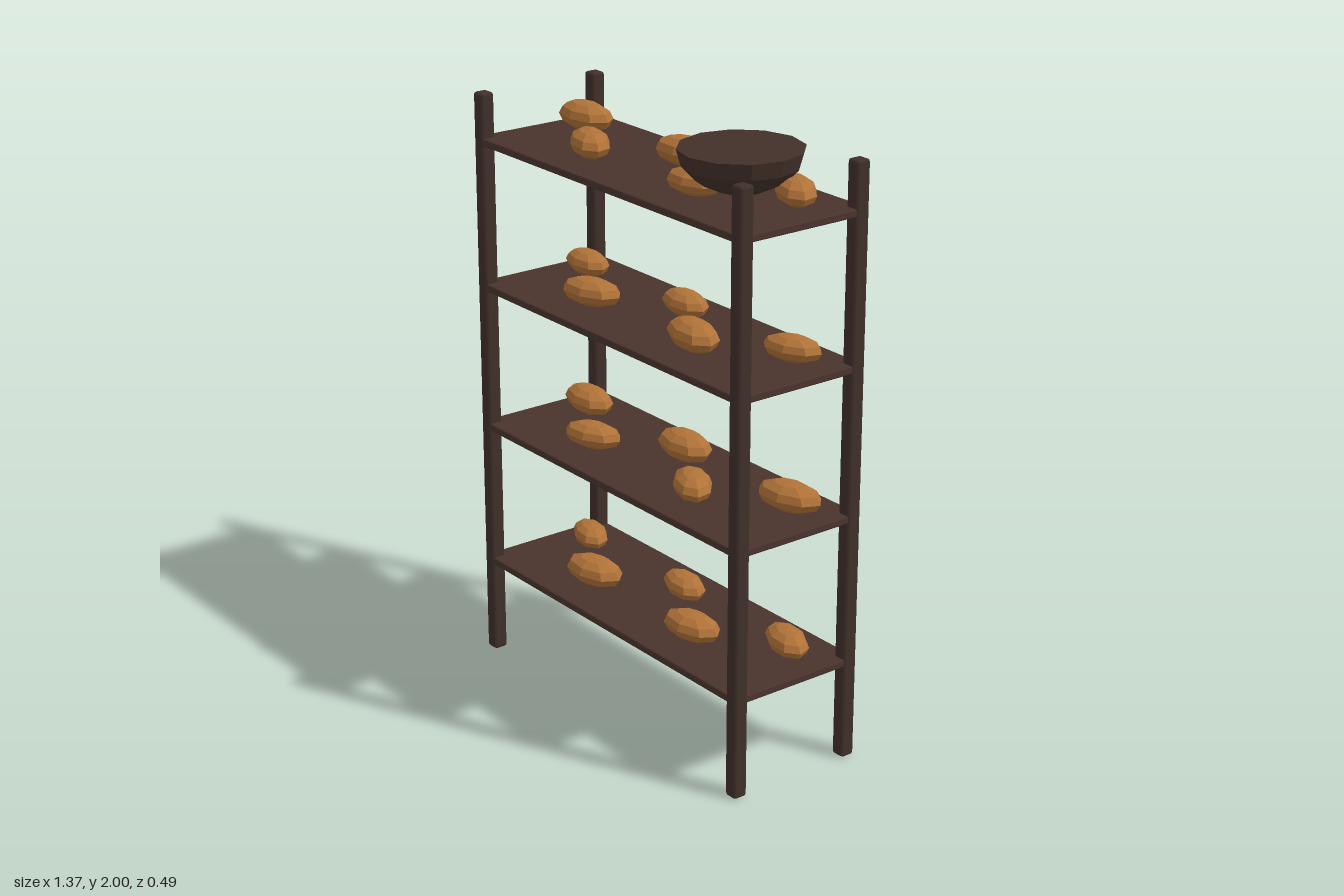
import * as THREE from 'three';
import { RoundedBoxGeometry } from 'three/addons/geometries/RoundedBoxGeometry.js';

export function createModel() {
  const group = new THREE.Group();
  const material = (name, color, flatShading = false) => {
    const m = new THREE.MeshStandardMaterial({ color, flatShading });
    m.name = name;
    return m;
  };
  const postWood = material('post wood', 0x40302a);
  const shelfWood = material('shelf wood', 0x4a342c);
  const bowlWood = material('bowl wood', 0x43312a, true);
  const crust = material('bread crust', 0xb07238, true);

  const add = (name, geometry, mat, x, y, z, parent = group) => {
    const mesh = new THREE.Mesh(geometry, mat);
    mesh.name = name;
    mesh.position.set(x, y, z);
    parent.add(mesh);
    return mesh;
  };

  // Four chamfered corner posts
  const postGeo = new RoundedBoxGeometry(0.05, 1.99, 0.05, 1, 0.01);
  for (const x of [-0.662, 0.662]) {
    for (const z of [-0.222, 0.222]) add('post', postGeo, postWood, x, 0.995, z);
  }

  // Loaves per shelf, from bottom to top: [half length, turn about y]
  const loaves = [
    [[0.101, -0.35], [0.122, 0.1], [0.105, -0.2], [0.117, 0.1], [0.11, -0.3]],
    [[0.117, -0.1], [0.11, 0.3], [0.122, -0.05], [0.112, -0.5], [0.121, 0.2]],
    [[0.104, -0.1], [0.115, 0.25], [0.106, -0.1], [0.123, -0.2], [0.105, 0.3]],
    [[0.121, 0], [0.113, -0.4], [0.119, 0.2], [0.105, 0.15], [0.112, -0.45]],
  ];
  const shelfGeo = new RoundedBoxGeometry(1.365, 0.026, 0.487, 1, 0.005);
  const loafGeo = new THREE.SphereGeometry(1, 8, 6);

  loaves.forEach((row, level) => {
    const top = 0.351 + level * 0.4965;
    const unit = new THREE.Group();
    unit.name = 'shelfWithBread';
    unit.position.y = top;
    group.add(unit);
    add('shelf', shelfGeo, shelfWood, 0, -0.013, 0, unit);

    // Loaves alternate between the back and front of the shelf
    row.forEach(([a, turn], i) => {
      const z = i % 2 ? 0.087 : -0.09;
      const loaf = add('loaf', loafGeo, crust, (i - 2) * 0.265, a * 0.39, z, unit);
      loaf.scale.set(a, a * 0.4, a * 0.56);
      loaf.rotation.y = turn;
    });
  });

  // Shallow bowl with a flat filled top
  const profile = [];
  for (let i = 0; i <= 4; i++) {
    const t = (i / 4) * Math.PI / 2;
    profile.push(new THREE.Vector2(0.198 * Math.sin(t), -0.14 * Math.cos(t)));
  }
  profile.push(new THREE.Vector2(0, 0));
  add('bowl', new THREE.LatheGeometry(profile, 12), bowlWood, 0.383, 2, 0);

  return group;
}
